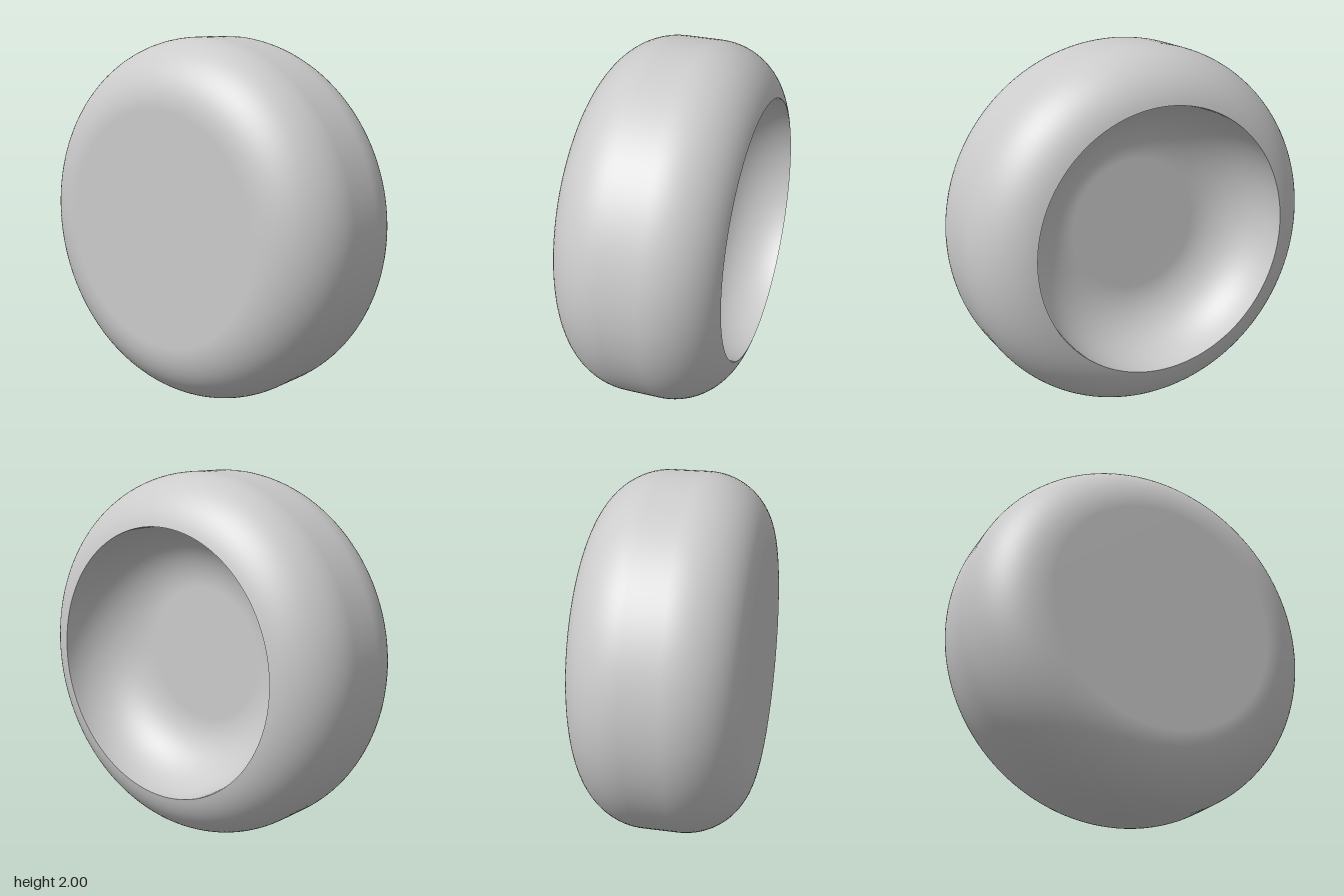
import * as THREE from 'three';

// Points on an arc in (radius, axis) space, angle measured from the radial direction
function arc(r, x, radius, from, to, steps = 20) {
  return Array.from({ length: steps + 1 }, (_, i) => {
    const a = from + (to - from) * i / steps;
    return new THREE.Vector2(r + radius * Math.cos(a), x + radius * Math.sin(a));
  });
}

export function createModel() {
  const group = new THREE.Group();
  group.name = 'hollowWheel';
  const material = new THREE.MeshStandardMaterial({ color: 0xcccccc });
  const H = Math.PI / 2;
  const halfWidth = 0.4525, round = 0.36, core = 0.64, rim = 0.73;
  const rimAngle = Math.asin(Math.sqrt(1 - ((rim - core) / round) ** 2));
  const rightCentre = halfWidth - round * Math.sin(rimAngle);

  // Turned about y, then laid over so the axis runs along x
  const addTurned = (name, points) => {
    const geometry = new THREE.LatheGeometry(points, 128);
    geometry.rotateZ(-H);
    geometry.translate(0, 1, 0);
    const mesh = new THREE.Mesh(geometry, material);
    mesh.name = name;
    group.add(mesh);
  };

  // Closed flat side, rounded shoulders and tread, up to the open rim
  addTurned('outerTyre', [
    new THREE.Vector2(0, -halfWidth),
    ...arc(core, -halfWidth + round, round, -H, 0),
    ...arc(core, rightCentre, round, 0, rimAngle),
  ]);

  // Bowl-shaped hollow, from the rim down to a flat floor
  addTurned('innerBowl', [
    ...arc(rim - round, halfWidth, round, 0, -H),
    new THREE.Vector2(0, halfWidth - round),
  ]);

  return group;
}
